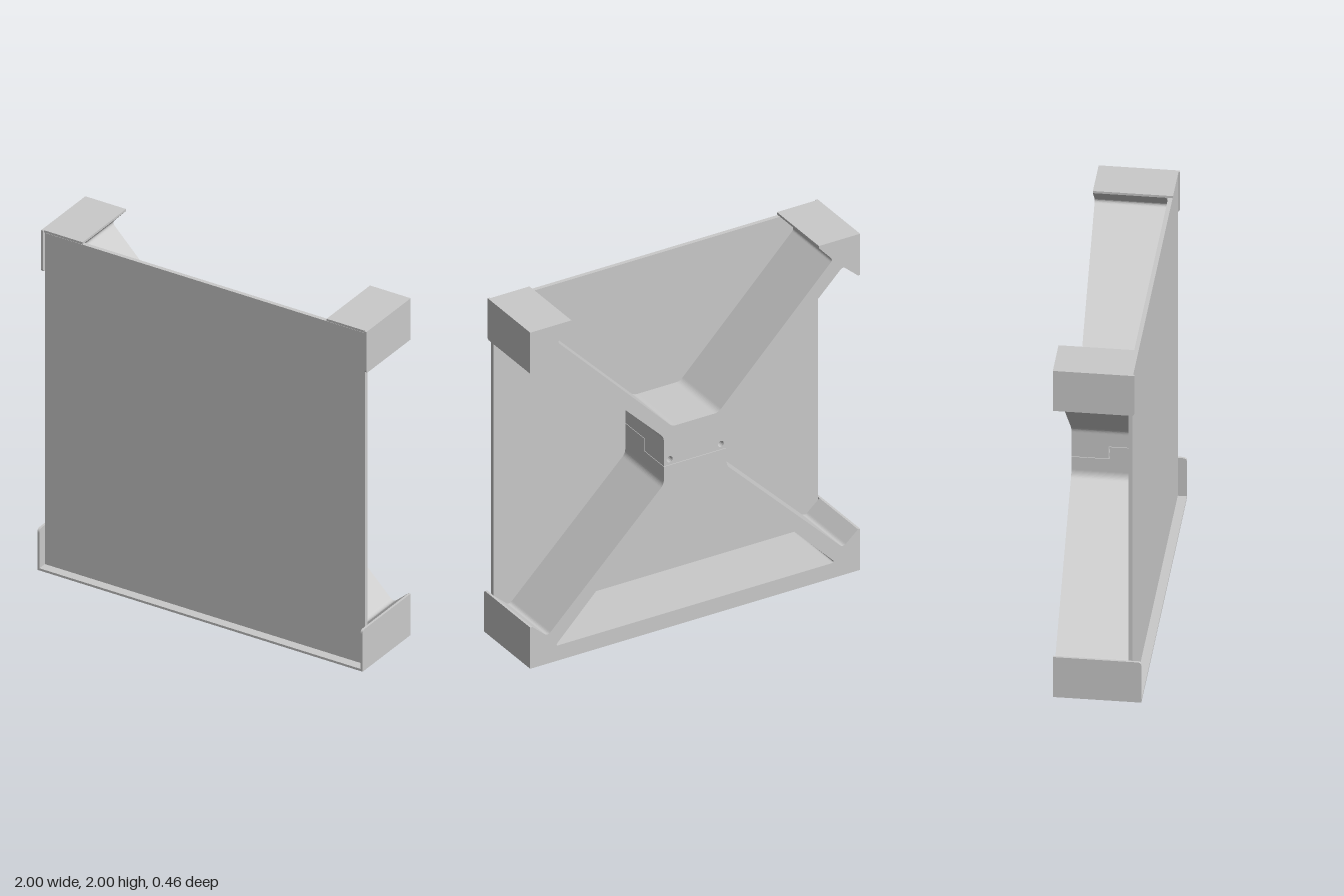
import * as THREE from 'three';

const grey = new THREE.MeshStandardMaterial({ color: 0xcacaca });
grey.name = 'grey plastic';

const BACK = -0.23, LAP = -0.035, SEAT = 0.154; // depth levels of the frame
const T = 0.013; // rim thickness

// Closed path through [x, y, cornerRadius] points with softened corners
function trace(path, pts) {
  const v = pts.map(p => new THREE.Vector2(p[0], p[1]));
  pts.forEach((p, i) => {
    const prev = v[(i + v.length - 1) % v.length], next = v[(i + 1) % v.length], c = v[i], r = p[2] || 0;
    const a = c.clone().add(prev.clone().sub(c).setLength(r));
    const b = c.clone().add(next.clone().sub(c).setLength(r));
    if (i === 0) path.moveTo(a.x, a.y); else path.lineTo(a.x, a.y);
    if (r > 0) path.quadraticCurveTo(c.x, c.y, b.x, b.y);
  });
  path.closePath();
  return path;
}

const mirrored = half => [...half, ...half.map(([x, y, r]) => [-x, y, r]).reverse()];

const extrude = (shape, depth) =>
  new THREE.ExtrudeGeometry(shape, { depth, bevelEnabled: false, curveSegments: 8 });

export function createModel() {
  const group = new THREE.Group();
  const add = (name, geometry, x = 0, y = 0, z = 0) => {
    const mesh = new THREE.Mesh(geometry, grey);
    mesh.name = name;
    mesh.position.set(x, y, z);
    group.add(mesh);
  };
  const block = (name, x0, x1, y0, y1, z0, z1) =>
    add(name, new THREE.BoxGeometry(x1 - x0, y1 - y0, z1 - z0), (x0 + x1) / 2, (y0 + y1) / 2, (z0 + z1) / 2);

  // Upper half of the frame: hub, two diagonal arms and corner blocks
  const upper = trace(new THREE.Shape(), mirrored([
    [0.19, 1.04], [0.19, 1.14, 0.025], [0.895, 1.835, 0.02], [1 - T, 1.755], [1, 1.755],
    [1, 2], [0.75, 2], [0.75, 2 - T], [0.835, 1.895, 0.02], [0.14, 1.19, 0.025],
  ]));
  add('upperFrame', extrude(upper, SEAT - BACK), 0, 0, BACK);

  // Lower half of the frame; the opening runs counterclockwise, against the outline
  const lower = trace(new THREE.Shape(), mirrored([
    [0.19, 0.963], [0.19, 0.86, 0.025], [0.895, 0.165, 0.025], [1 - T, 0.245], [1, 0.245], [1, 0],
  ]));
  lower.holes.push(trace(new THREE.Path(), mirrored([[0.85, 0.09, 0.025], [0.14, 0.815, 0.025]])));
  add('lowerFrame', extrude(lower, SEAT - BACK), 0, 0, BACK);

  // Overlapping hub joint with two screw holes in the rear tongue
  const tongue = trace(new THREE.Shape(), mirrored([[0.19, 0.966], [0.19, 1.04]]));
  for (const x of [-0.155, 0.155]) {
    tongue.holes.push(new THREE.Path().absarc(x, 0.998, 0.018, 0, Math.PI * 2, true));
  }
  add('rearJointTongue', extrude(tongue, LAP - BACK), 0, 0, BACK);
  block('frontJointTongue', -0.19, 0.19, 0.963, 1.037, LAP + 0.003, SEAT);

  // Flat panel standing just clear of the frame and rims
  block('panel', -0.984, 0.984, 0.017, 1.984, 0.162, 0.185);

  // Thin rims holding the panel at the corners
  const sideRim = pts => extrude(trace(new THREE.Shape(), pts), T).rotateY(-Math.PI / 2);
  for (const s of [-1, 1]) {
    const x = s > 0 ? 1 : -1 + T;
    add('upperSideRim', sideRim([[SEAT, 1.755], [0.195, 1.755, 0.015], [0.195, 2], [SEAT, 2]]), x);
    add('lowerSideRim', sideRim([[SEAT, 0], [0.232, 0], [0.232, 0.245, 0.022], [SEAT, 0.245]]), x);
    block('upperRim', s > 0 ? 0.75 : -1 + T, s > 0 ? 1 - T : -0.75, 2 - T, 2, SEAT, 0.188);
  }
  block('bottomLip', -1 + T, 1 - T, 0, T, SEAT, 0.232);

  return group;
}
